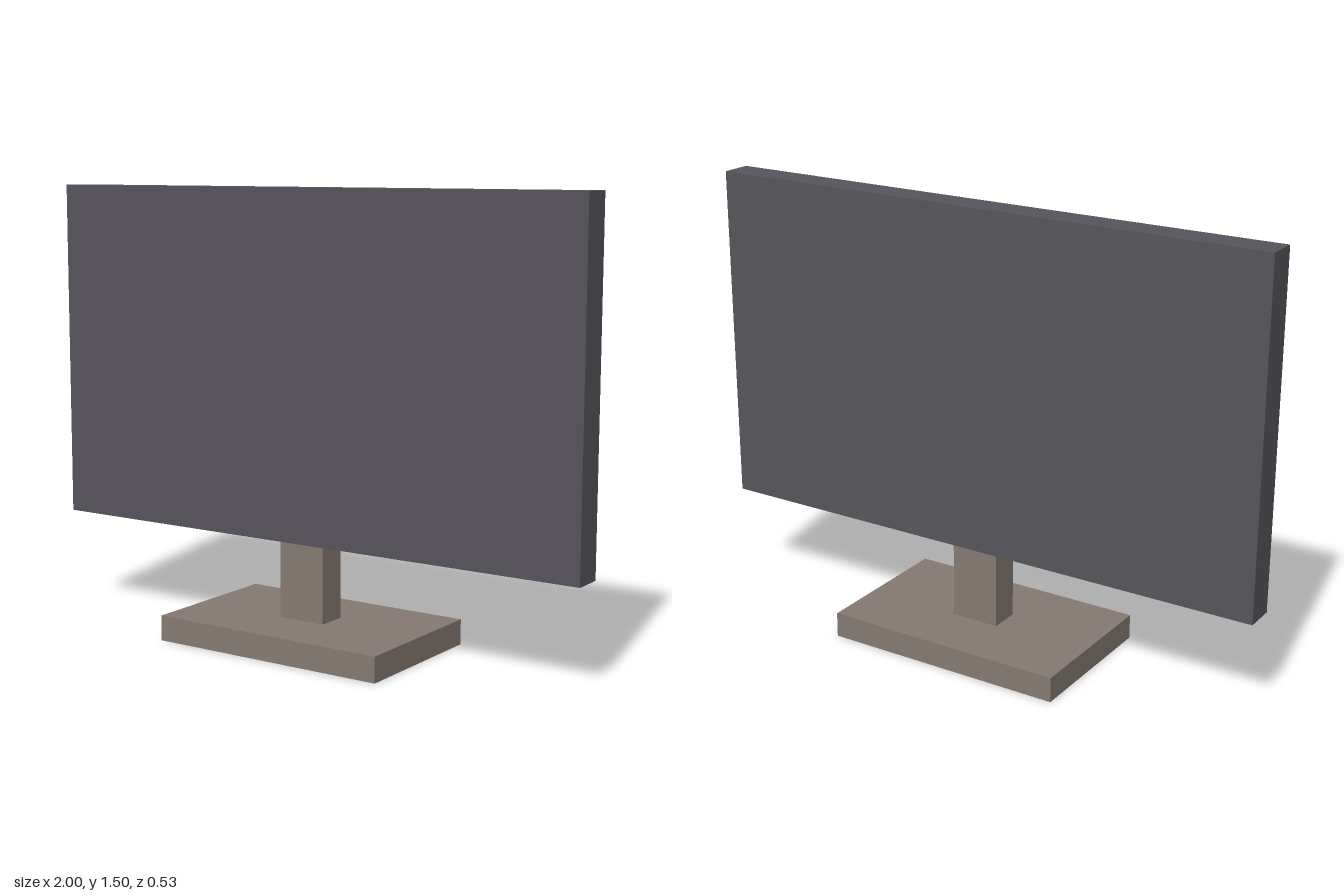
import * as THREE from 'three';

export function createModel() {
  const model = new THREE.Group();
  model.name = 'monitor';

  const charcoal = new THREE.MeshStandardMaterial({ name: 'charcoal', color: 0x57555c });
  const taupe = new THREE.MeshStandardMaterial({ name: 'taupe', color: 0x857a72 });

  // Adds a box centred on x and z, spanning bottom to top
  const addBox = (name, width, depth, bottom, top, material) => {
    const mesh = new THREE.Mesh(new THREE.BoxGeometry(width, top - bottom, depth), material);
    mesh.name = name;
    mesh.position.y = (bottom + top) / 2;
    model.add(mesh);
  };

  addBox('base', 0.842, 0.526, 0, 0.085, taupe);
  addBox('neck', 0.168, 0.105, 0.085, 0.34, taupe);
  addBox('screen', 2, 0.105, 0.34, 1.497, charcoal);

  return model;
}
